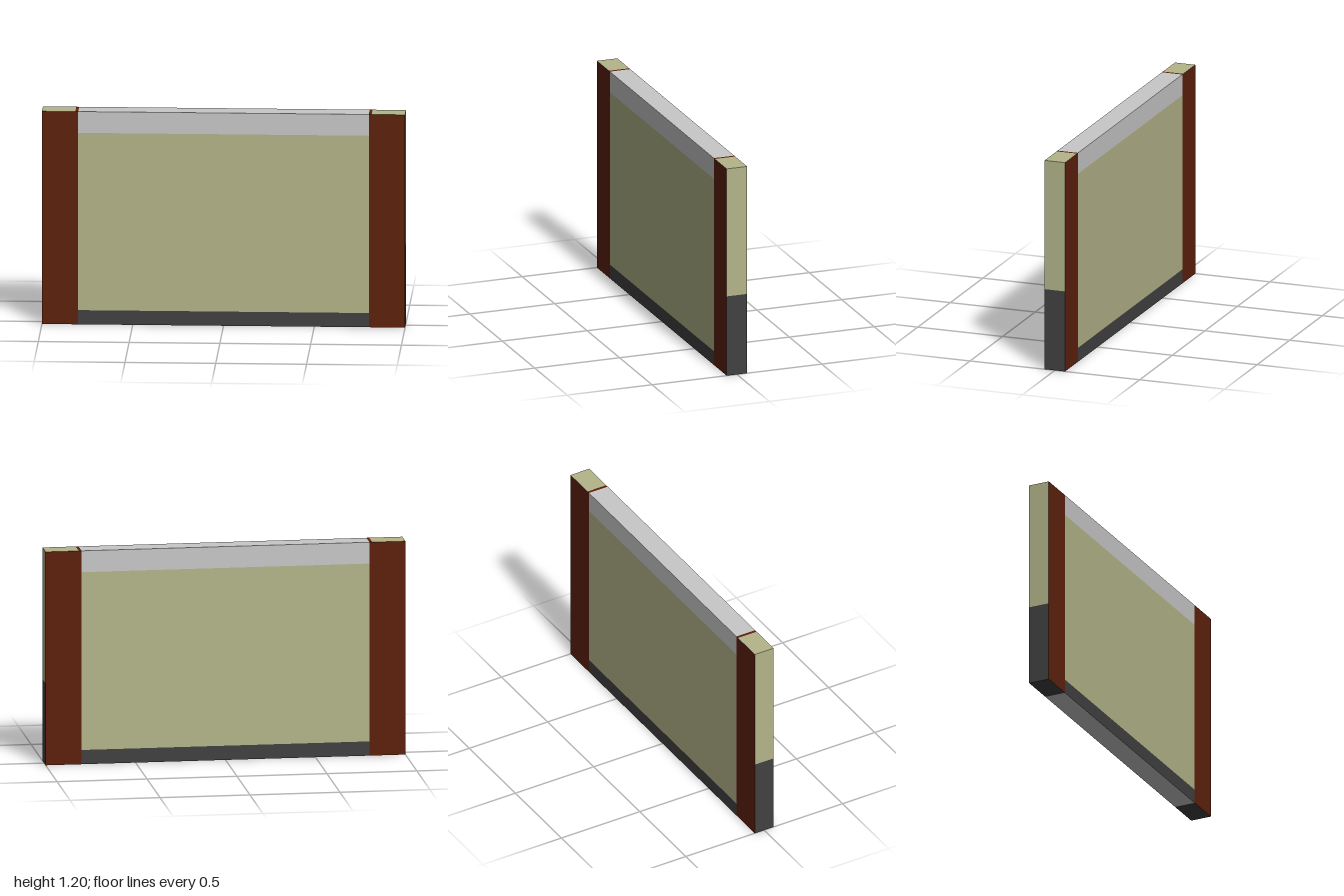
import * as THREE from 'three';

const material = (name, color) => {
  const m = new THREE.MeshStandardMaterial({ color });
  m.name = name;
  return m;
};

export function createModel() {
  const brown = material('brown', 0x5e210d);
  const khaki = material('khaki', 0xb4b58a);
  const lightGrey = material('light grey', 0xc9c8c9);
  const darkGrey = material('dark grey', 0x414141);

  const model = new THREE.Group();
  model.name = 'framedPanel';

  const H = 1.2, D = 0.12, POST = 0.8, TRIM = 0.816;

  // One flat outer face of the slab, turned to look outward
  function face(name, mat, w, h, position, rx = 0, ry = 0) {
    const mesh = new THREE.Mesh(new THREE.PlaneGeometry(w, h), mat);
    mesh.name = name;
    mesh.position.set(...position);
    mesh.rotation.set(rx, ry, 0);
    model.add(mesh);
  }

  // Front and back: base strip, main panel, top strip and two posts
  const bands = [
    ['baseStrip', darkGrey, 0, 0.08],
    ['mainPanel', khaki, 0.08, 1.08],
    ['topStrip', lightGrey, 1.08, H],
  ];
  for (const [label, s] of [['Front', 1], ['Back', -1]]) {
    const turn = s > 0 ? 0 : Math.PI;
    for (const [name, mat, y0, y1] of bands) {
      face(name + label, mat, 2 * POST, y1 - y0, [0, (y0 + y1) / 2, s * D / 2], 0, turn);
    }
    for (const x of [-1, 1]) {
      face((x > 0 ? 'leftPost' : 'rightPost') + label, brown, 1 - POST, H,
        [x * (1 + POST) / 2, H / 2, s * D / 2], 0, turn);
    }
  }

  // Top and bottom centre
  face('topCap', lightGrey, 2 * POST, D, [0, H, 0], -Math.PI / 2);
  face('underside', lightGrey, 2 * POST, D, [0, 0, 0], Math.PI / 2);

  // Post ends and outer sides
  const split = 0.46;
  for (const s of [-1, 1]) {
    const side = s > 0 ? 'left' : 'right';
    const turn = s * Math.PI / 2;
    face(side + 'PostTop', khaki, 1 - TRIM, D, [s * (1 + TRIM) / 2, H, 0], -Math.PI / 2);
    face(side + 'PostTrim', brown, TRIM - POST, D, [s * (TRIM + POST) / 2, H, 0], -Math.PI / 2);
    face(side + 'PostFoot', darkGrey, 1 - POST, D, [s * (1 + POST) / 2, 0, 0], Math.PI / 2);
    face(side + 'SideLower', darkGrey, D, split, [s, split / 2, 0], 0, turn);
    face(side + 'SideUpper', khaki, D, H - split, [s, (H + split) / 2, 0], 0, turn);
  }

  return model;
}
